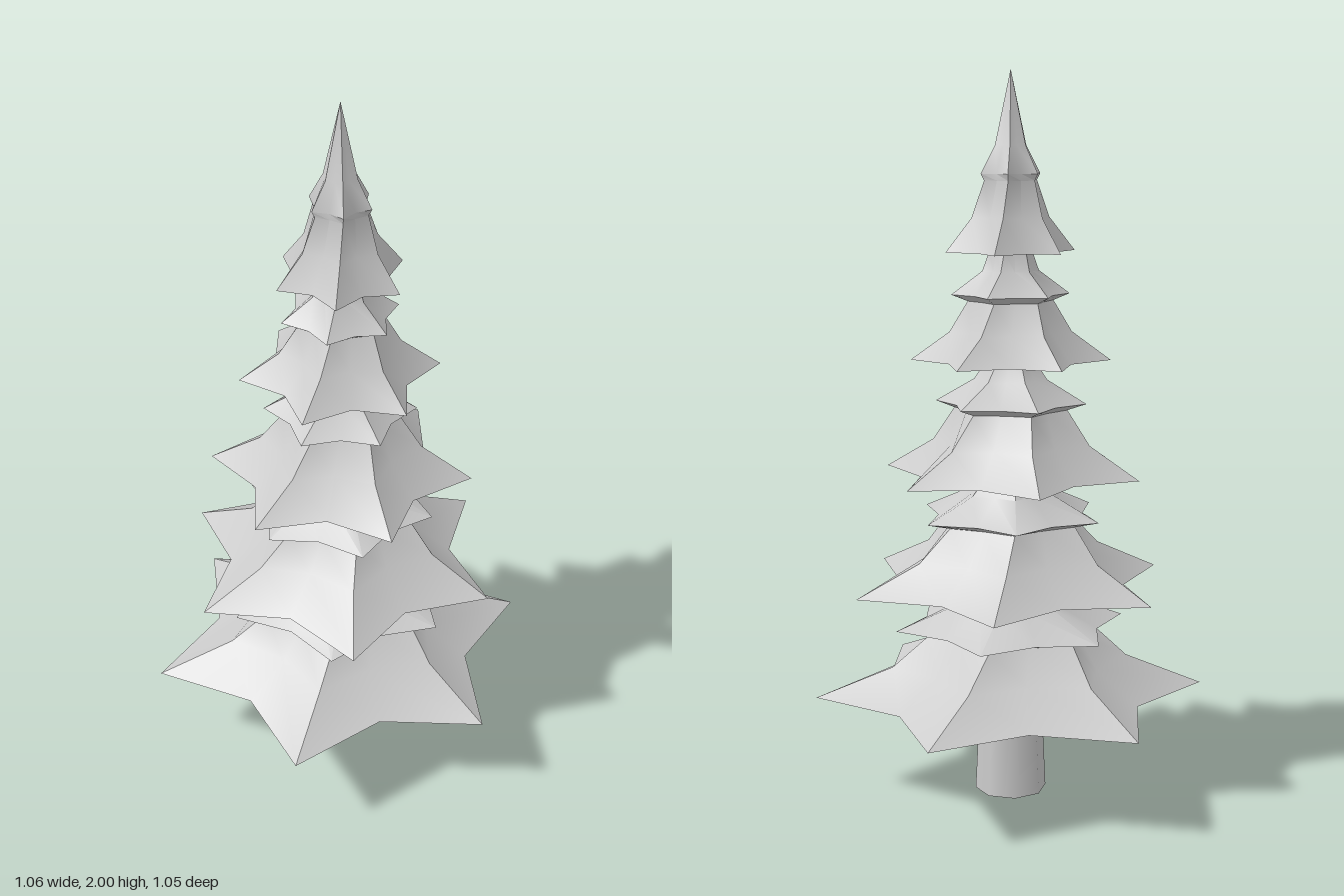
import * as THREE from 'three';
import { toCreasedNormals } from 'three/addons/utils/BufferGeometryUtils.js';

const POINTS = 6;
const DEG = Math.PI / 180;

// Six-pointed star ring: tip radius r, valley radius r * valley, turned by phase degrees
function starRing(y, r, valley, phase) {
  const ring = [];
  for (let j = 0; j < POINTS * 2; j++) {
    const a = phase * DEG + (j * Math.PI) / POINTS;
    const rr = j % 2 ? r * valley : r;
    ring.push([rr * Math.cos(a), y, rr * Math.sin(a)]);
  }
  return ring;
}

// Skin a stack of rings and close the underside
function loft(rings, creaseAngle) {
  const n = POINTS * 2;
  const pos = [];
  const tri = (...pts) => pts.forEach((p) => pos.push(...p));
  const base = [0, rings[0][0][1], 0];
  for (let j = 0; j < n; j++) {
    const k = (j + 1) % n;
    tri(base, rings[0][j], rings[0][k]);
    for (let i = 0; i < rings.length - 1; i++) {
      const lo = rings[i], up = rings[i + 1];
      tri(lo[j], up[j], up[k]);
      tri(lo[j], up[k], lo[k]);
    }
  }
  const geo = new THREE.BufferGeometry();
  geo.setAttribute('position', new THREE.Float32BufferAttribute(pos, 3));
  return toCreasedNormals(geo, creaseAngle);
}

export function createModel() {
  const model = new THREE.Group();
  model.name = 'firTree';
  const material = new THREE.MeshStandardMaterial({ color: 0xcccccc });

  // Tapered trunk
  const trunk = new THREE.Mesh(new THREE.CylinderGeometry(0.086, 0.1, 0.3, 8), material);
  trunk.name = 'trunk';
  trunk.position.y = 0.15;
  model.add(trunk);

  // Tiers: wide skirt, neck, then a smaller flared collar carrying the next tier
  const tiers = [
    { y: 0.285, r: 0.546, lipY: 0.482, lipR: 0.328, topR: 0.09 },
    { y: 0.6, r: 0.457, lipY: 0.795, lipR: 0.267, topR: 0.08 },
    { y: 0.91, r: 0.365, lipY: 1.108, lipR: 0.209, topR: 0.065 },
    { y: 1.225, r: 0.273, lipY: 1.405, lipR: 0.162, topR: 0.06 },
    { y: 1.52, r: 0.182, lipY: 1.728, lipR: 0.088, topR: 0.0005 },
  ];
  tiers.forEach((t, i) => {
    const last = i === tiers.length - 1;
    const top = last ? 2 : tiers[i + 1].y;
    const phase = 14.8 - 17.3 * i;
    const neckY = t.lipY - 0.018;
    const rings = [
      starRing(t.y, t.r, 0.69, phase),
      starRing(t.y + (neckY - t.y) * 0.48, t.r * 0.61, 0.76, phase - 3),
      starRing(neckY, t.r * 0.43, 0.82, phase - 8.65),
      starRing(t.lipY, t.lipR, 0.75, phase - 8.65),
      starRing(
        t.lipY + (top - t.lipY) * (last ? 0.27 : 0.55),
        t.lipR * (last ? 0.54 : 0.48), 0.8, phase - 11
      ),
      starRing(top, t.topR, 0.88, phase - 14),
    ];
    const tier = new THREE.Mesh(loft(rings, 38 * DEG), material);
    tier.name = `branchTier${i + 1}`;
    model.add(tier);
  });

  return model;
}
